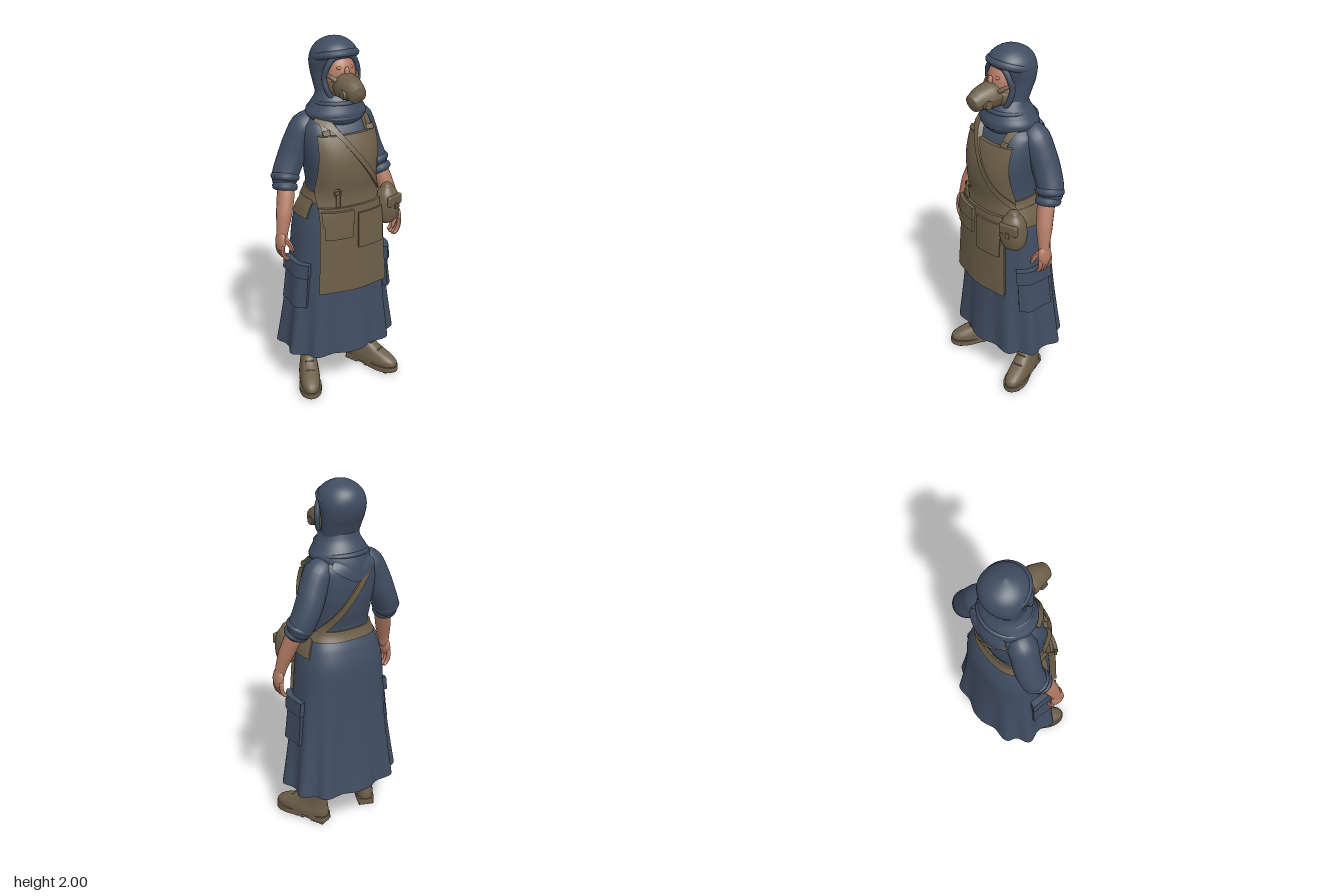
import * as THREE from 'three';
import { toCreasedNormals } from 'three/addons/utils/BufferGeometryUtils.js';
import { ParametricGeometry } from 'three/addons/geometries/ParametricGeometry.js';
import { RoundedBoxGeometry } from 'three/addons/geometries/RoundedBoxGeometry.js';

const material = (name, color) => {
  const m = new THREE.MeshStandardMaterial({ color, side: THREE.DoubleSide });
  m.name = name;
  return m;
};
const V = (x, y, z) => new THREE.Vector3(x, y, z);
const clamp = THREE.MathUtils.clamp;

// Smooth lookup of one column in a table of rows [y, halfWidth, zFront, zBack], y ascending
function sample(t, y, c) {
  let i = 0;
  while (i < t.length - 2 && y > t[i + 1][0]) i++;
  const slope = k => {
    const a = t[Math.max(0, k - 1)], b = t[Math.min(t.length - 1, k + 1)];
    return (b[c] - a[c]) / (b[0] - a[0]);
  };
  const h = t[i + 1][0] - t[i][0], s = clamp((y - t[i][0]) / h, 0, 1), s2 = s * s, s3 = s2 * s;
  return (2 * s3 - 3 * s2 + 1) * t[i][c] + (s3 - 2 * s2 + s) * h * slope(i)
    + (3 * s2 - 2 * s3) * t[i + 1][c] + (s3 - s2) * h * slope(i + 1);
}

// Point on a stack of rounded sections; angle 0 faces the front
function sectionPoint(t, n, a, y, off = 0, pleat = 1) {
  const rx = Math.max(0.001, sample(t, y, 1)), zf = sample(t, y, 2), zb = sample(t, y, 3);
  const p = v => Math.sign(v) * Math.abs(v) ** (2 / n);
  const rz = Math.max(0.001, (zf - zb) / 2);
  return V((rx * pleat + off) * p(Math.sin(a)), y, (zf + zb) / 2 + (rz * pleat + off) * p(Math.cos(a)));
}
function loft(t, n = 2, slices = 40, stacks = 40, pleat = () => 1) {
  const y0 = t[0][0], y1 = t[t.length - 1][0];
  return new ParametricGeometry((u, v, out) => {
    const a = u * 2 * Math.PI - Math.PI, y = y0 + (y1 - y0) * v;
    out.copy(sectionPoint(t, n, a, y, 0, pleat(a, y)));
  }, slices, stacks);
}

// Tube of varying radius through points [x, y, z, r], rounded at both ends
function limb(pts, sides = 14, steps = 24) {
  const curve = new THREE.CatmullRomCurve3(pts.map(p => V(p[0], p[1], p[2])));
  const at = [0];
  for (let i = 1; i < pts.length; i++) at.push(at[i - 1] + curve.points[i].distanceTo(curve.points[i - 1]));
  const g = new THREE.TubeGeometry(curve, steps, 1, sides), pos = g.attributes.position, v = V(0, 0, 0);
  for (let i = 0; i <= steps; i++) {
    const d = i / steps * at[at.length - 1], c = curve.getPointAt(i / steps);
    let k = 0;
    while (k < pts.length - 2 && d > at[k + 1]) k++;
    const f = (d - at[k]) / (at[k + 1] - at[k]);
    const r = (pts[k][3] + (pts[k + 1][3] - pts[k][3]) * f) * Math.sqrt(Math.max(0, 1 - Math.abs(2 * i / steps - 1) ** 24));
    for (let j = 0; j <= sides; j++) {
      const q = i * (sides + 1) + j;
      v.fromBufferAttribute(pos, q).sub(c).multiplyScalar(r).add(c);
      pos.setXYZ(q, v.x, v.y, v.z);
    }
  }
  g.computeVertexNormals();
  return g;
}

// Closed roll of cloth: oval ring whose height leans with z
function roll(rx, rz, y, z, lean, r) {
  const pts = [];
  for (let i = 0; i < 16; i++) {
    const a = i / 16 * Math.PI * 2;
    pts.push(V(rx * Math.sin(a), y + lean * Math.cos(a), z + rz * Math.cos(a)));
  }
  return new THREE.TubeGeometry(new THREE.CatmullRomCurve3(pts, true), 48, r, 10, true);
}

// Dress body: hem to shoulders
const BODY = [
  [0.25, 0.33, 0.222, -0.234], [0.4, 0.31, 0.212, -0.218], [0.6, 0.285, 0.2, -0.2],
  [0.8, 0.265, 0.195, -0.187], [1.0, 0.245, 0.19, -0.18], [1.1, 0.222, 0.185, -0.155],
  [1.2, 0.18, 0.178, -0.115], [1.3, 0.183, 0.19, -0.135], [1.4, 0.195, 0.185, -0.152],
  [1.5, 0.2, 0.152, -0.155], [1.57, 0.182, 0.11, -0.142], [1.63, 0.1, 0.05, -0.1]];
const N = 2.5;
const pleat = (a, y) => 1 + 0.055 * Math.max(0, (0.92 - y) / 0.66) ** 1.1 * Math.cos(10 * a);
const angleAt = (x, y) => {
  const q = clamp(x / sample(BODY, y, 1), -1, 1);
  return Math.asin(Math.sign(q) * Math.abs(q) ** (N / 2));
};

// Cloth panel lying on the dress; its rim folds down to the surface. map(u, v) gives [angle, y]
function panel(map, off, nu = 16, nv = 16) {
  const g = new ParametricGeometry((u, v, out) => {
    const i = Math.round(u * (nu + 2)), j = Math.round(v * (nv + 2));
    const rim = i === 0 || j === 0 || i === nu + 2 || j === nv + 2;
    const [a, y] = map(clamp((i - 1) / nu, 0, 1), clamp((j - 1) / nv, 0, 1));
    out.copy(sectionPoint(BODY, N, a, y, rim ? -0.004 : off, pleat(a, y)));
  }, nu + 2, nv + 2);
  return toCreasedNormals(g, 0.8);
}
const frontPanel = (y0, y1, left, right, off) => panel((u, v) => {
  const y = y0 + (y1 - y0) * v;
  return [angleAt(left(v) + (right(v) - left(v)) * u, y), y];
}, off);

export function createModel() {
  const root = new THREE.Group();
  root.name = 'maskedWorker';
  const blue = material('blueCloth', 0x404d61), brown = material('brownLeather', 0x6d5f49);
  const skin = material('skin', 0xb37b64);
  const add = (name, geo, mat, parent = root) => {
    const m = new THREE.Mesh(geo, mat);
    m.name = name;
    parent.add(m);
    return m;
  };
  const ball = (name, mat, p, s) => {
    const m = add(name, new THREE.SphereGeometry(1, 24, 16), mat);
    m.position.set(...p);
    m.scale.set(...s);
    return m;
  };

  // Dress
  add('dress', loft(BODY, N, 120, 60, pleat), blue);

  // Head, hood and neck wrap
  add('hood', loft([[1.62, 0.12, 0.09, -0.11], [1.7, 0.108, 0.07, -0.09], [1.76, 0.114, 0.06, -0.108],
    [1.82, 0.122, 0.06, -0.135], [1.88, 0.128, 0.08, -0.147], [1.93, 0.117, 0.1, -0.138],
    [1.965, 0.088, 0.078, -0.11], [1.99, 0.045, 0.03, -0.06], [2.0, 0.001, -0.014, -0.016]]), blue);
  ball('face', skin, [0, 1.81, 0.03], [0.089, 0.125, 0.088]);
  ball('nose', skin, [0, 1.835, 0.117], [0.014, 0.03, 0.014]);
  add('headband', roll(0.109, 0.107, 1.9, -0.014, 0.028, 0.02), blue);
  const opening = [];
  for (let i = 0; i < 16; i++) {
    const a = i / 16 * Math.PI * 2;
    opening.push(V(0.098 * Math.cos(a), 1.8 + 0.125 * Math.sin(a), 0.055 + 0.022 * Math.abs(Math.sin(a))));
  }
  add('hoodEdge', new THREE.TubeGeometry(new THREE.CatmullRomCurve3(opening, true), 48, 0.015, 10, true), blue);
  add('neckWrap', loft([[1.53, 0.1, 0.07, -0.17], [1.57, 0.148, 0.128, -0.163], [1.61, 0.166, 0.143, -0.15],
    [1.65, 0.145, 0.133, -0.13], [1.69, 0.12, 0.116, -0.108], [1.73, 0.104, 0.085, -0.095]]), blue);
  add('upperFold', roll(0.122, 0.113, 1.668, 0.006, 0.006, 0.012), blue);
  add('lowerFold', roll(0.148, 0.136, 1.612, -0.004, -0.014, 0.013), blue);
  add('hoodDrape', panel((u, v) => {
    const low = 1.485 + 0.09 * Math.abs(2 * u - 1);
    return [Math.PI + (u - 0.5) * 1.4, low + (1.605 - low) * v];
  }, 0.014), blue);

  // Breathing mask: cheek seal and snout
  ball('maskSeal', brown, [0, 1.757, 0.05], [0.086, 0.07, 0.078]);
  add('maskSnout', limb([[0, 1.765, 0.06, 0.07], [0, 1.763, 0.13, 0.07], [0, 1.758, 0.18, 0.06],
    [0, 1.748, 0.215, 0.05], [0, 1.74, 0.243, 0.044]], 16), brown);
  for (const s of [-1, 1]) {
    const filter = add('maskFilter', new THREE.CylinderGeometry(0.022, 0.028, 0.018, 16), brown);
    filter.position.set(s * 0.056, 1.742, 0.175);
    filter.rotation.z = s * -Math.PI / 2;
    add('maskStrap', limb([[s * 0.05, 1.79, 0.11, 0.014], [s * 0.072, 1.808, 0.087, 0.012],
      [s * 0.09, 1.822, 0.06, 0.008]], 8, 12), brown);
    ball('eyelid', skin, [s * 0.034, 1.857, 0.098], [0.015, 0.009, 0.009]);
  }

  for (const s of [-1, 1]) {
    // Sleeve and rolled cuff
    add('sleeve', limb([[s * 0.1, 1.575, -0.04, 0.06], [s * 0.16, 1.53, -0.045, 0.08], [s * 0.2, 1.46, -0.055, 0.076],
      [s * 0.235, 1.37, -0.063, 0.076], [s * 0.278, 1.27, -0.055, 0.072], [s * 0.292, 1.215, -0.03, 0.062]], 20, 32), blue);
    for (const [x, y, z, r] of [[0.28, 1.268, -0.05, 0.055], [0.293, 1.222, -0.028, 0.046]]) {
      const cuff = add('cuff', new THREE.TorusGeometry(r, 0.023, 10, 28), blue);
      cuff.position.set(s * x, y, z);
      cuff.rotation.set(Math.PI / 2 - 0.3, s * 0.25, 0);
    }
    // Forearm and hand
    add('forearm', limb([[s * 0.28, 1.27, -0.035, 0.045], [s * 0.305, 1.17, 0, 0.047], [s * 0.328, 1.09, 0.025, 0.043],
      [s * 0.35, 1.0, 0.045, 0.031], [s * 0.358, 0.95, 0.05, 0.028]]), skin);
    const palm = ball('palm', skin, [s * 0.364, 0.95, 0.05], [0.024, 0.06, 0.043]);
    palm.rotation.z = s * 0.1;
    [0.016, 0.038, 0.06, 0.081].forEach((z, i) => {
      const tip = 0.832 + 0.007 * Math.abs(i - 1.5);
      add('finger', limb([[s * 0.366, 0.94, z, 0.013], [s * 0.366, 0.895, z, 0.012],
        [s * 0.352, 0.86, z, 0.011], [s * 0.33, tip, z, 0.009]], 8, 14), skin);
    });
    add('thumb', limb([[s * 0.355, 0.975, 0.075, 0.015], [s * 0.33, 0.935, 0.093, 0.014],
      [s * 0.312, 0.89, 0.096, 0.01]], 8, 14), skin);

    // Cargo pocket with flap
    const side = (a0, a1, y0, y1, off) => panel((u, v) => [s * (a0 + (a1 - a0) * u), y0 + (y1 - y0) * v], off, 10, 8);
    add('cargoPocket', side(0.98, 1.74, 0.55, 0.76, 0.022), blue);
    add('cargoFlap', side(0.95, 1.77, 0.73, 0.81, 0.034), blue);

    // Boot
    const boot = new THREE.Group();
    boot.name = 'boot';
    boot.position.set(s * 0.181, 0, -0.003);
    boot.rotation.y = s * 0.41;
    root.add(boot);
    add('bootUpper', loft([[0.03, 0.058, 0.247, -0.093], [0.07, 0.058, 0.245, -0.095], [0.1, 0.052, 0.2, -0.09],
      [0.13, 0.048, 0.125, -0.088], [0.17, 0.047, 0.072, -0.088], [0.24, 0.051, 0.06, -0.094],
      [0.3, 0.053, 0.06, -0.097], [0.4, 0.055, 0.06, -0.097]], 2.5, 32, 30), brown, boot);
    const shape = new THREE.Shape();
    shape.moveTo(0, -0.1);
    shape.splineThru([[0.045, -0.08], [0.05, -0.02], [0.048, 0.04], [0.064, 0.15], [0.046, 0.225], [0, 0.255],
      [-0.046, 0.225], [-0.064, 0.15], [-0.048, 0.04], [-0.05, -0.02], [-0.045, -0.08], [0, -0.1]]
      .map(p => new THREE.Vector2(...p)));
    const sole = new THREE.ExtrudeGeometry(shape, { depth: 0.032, bevelEnabled: false, curveSegments: 48 });
    sole.rotateX(Math.PI / 2).translate(0, 0.044, 0);
    add('sole', toCreasedNormals(sole, 0.7), brown, boot);
    for (const z of [-0.075, -0.045, -0.015, 0.06, 0.095, 0.13, 0.165, 0.2])
      for (const e of [-1, 1])
        add('treadLug', new THREE.BoxGeometry(0.04, 0.014, 0.024), brown, boot).position.set(e * 0.025, 0.007, z);
    for (let i = 0; i < 5; i++) {
      const lace = add('lace', new THREE.CapsuleGeometry(0.004, 0.045, 3, 8), brown, boot);
      lace.position.set(0, 0.125 + i * 0.03, [0.134, 0.084, 0.066, 0.06, 0.058][i]);
      lace.rotation.z = Math.PI / 2;
    }

    // Bib strap and its buckle
    add('bibStrap', frontPanel(1.5, 1.605, () => s * 0.118 - 0.016, () => s * 0.118 + 0.016, 0.018), brown);
    const buckle = add('strapBuckle', new RoundedBoxGeometry(0.042, 0.03, 0.016, 2, 0.005), brown);
    buckle.position.copy(sectionPoint(BODY, N, angleAt(s * 0.118, 1.535), 1.535, 0.018));
    buckle.rotation.x = -0.5;
  }

  // Apron with bib, skirt and pockets
  add('apronBib', frontPanel(1.12, 1.52, v => -0.172 + 0.014 * v, v => 0.172 - 0.014 * v, 0.02), brown);
  add('apronSkirt', frontPanel(0.65, 1.14, v => -0.186 + 0.02 * v, v => 0.182 - 0.02 * v, 0.034), brown);
  add('apronPocket', frontPanel(0.97, 1.1, () => -0.15, () => -0.02, 0.046), brown);
  add('pocketFlap', frontPanel(1.05, 1.125, () => -0.155, () => -0.015, 0.052), brown);
  add('apronPocket', frontPanel(0.9, 1.1, () => 0.01, () => 0.15, 0.044), brown);

  // Belt with side patches
  add('belt', panel((u, v) => [(u * 2 - 1) * Math.PI, 1.152 + 0.056 * v], 0.01, 60, 4), brown);
  for (const s of [-1, 1])
    add('sidePatch', panel((u, v) => [s * (1.2 + 0.65 * u), 1.065 + 0.1 * v], 0.012, 10, 8), brown);
  const ring = add('toolRing', new THREE.TorusGeometry(0.018, 0.005, 8, 20), brown);
  ring.position.set(-0.1, 1.225, 0.2);
  add('toolTag', new RoundedBoxGeometry(0.022, 0.07, 0.014, 2, 0.005), brown).position.set(-0.1, 1.18, 0.205);

  // Cross strap over the right shoulder to the left hip, front and back
  add('crossStrapFront', panel((u, v) => {
    const y = 1.61 - 0.43 * v;
    return [angleAt(-0.115 + 0.29 * v, y), y + (u - 0.5) * 0.044];
  }, 0.028, 3, 24), brown);
  add('crossStrapBack', panel((u, v) => {
    const y = 1.59 - 0.4 * v;
    return [Math.PI - angleAt(-0.115 + 0.285 * v, y), y + (u - 0.5) * 0.06];
  }, 0.012, 4, 24), brown);

  // Hip pouch
  const pouch = new THREE.Group();
  pouch.name = 'hipPouch';
  pouch.position.set(0.233, 0, 0.155);
  pouch.rotation.y = 0.35;
  root.add(pouch);
  add('pouchBody', loft([[0.97, 0.01, 0.008, -0.008], [0.985, 0.05, 0.042, -0.042], [1.03, 0.07, 0.06, -0.06],
    [1.1, 0.07, 0.062, -0.062], [1.15, 0.058, 0.052, -0.052], [1.18, 0.036, 0.032, -0.032], [1.2, 0.024, 0.022, -0.022],
    [1.21, 0.001, 0.001, -0.001]], 2.4, 28, 32), brown, pouch);
  add('pouchFlap', new RoundedBoxGeometry(0.11, 0.06, 0.022, 3, 0.01), brown, pouch).position.set(0, 1.115, 0.053);
  add('pouchClasp', new RoundedBoxGeometry(0.022, 0.035, 0.01, 2, 0.004), brown, pouch).position.set(0, 1.085, 0.064);
  return root;
}
